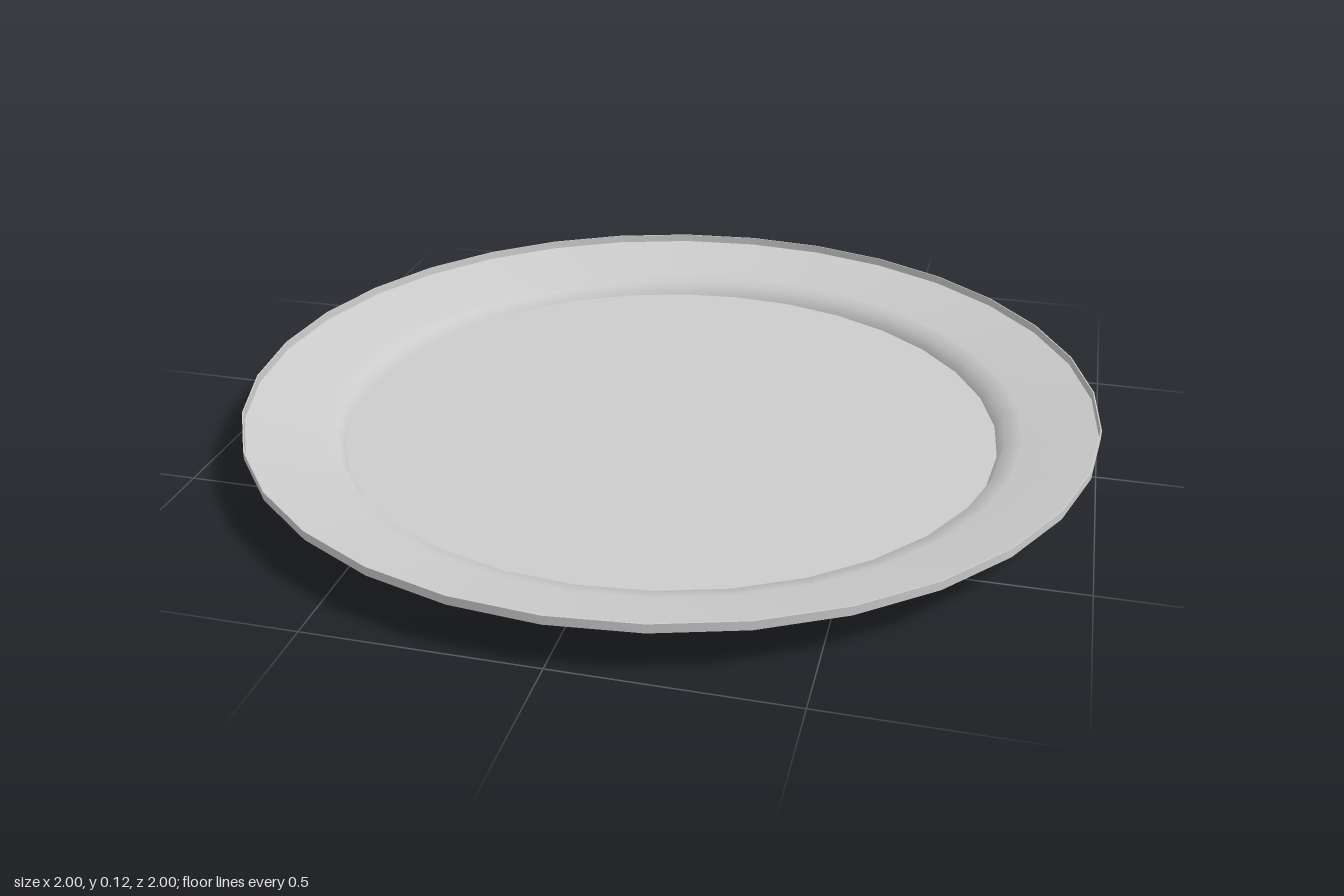
import * as THREE from 'three';

// Profiles [radius, height], ordered so faces point outward:
// underside runs out, the upper side runs back in.
const parts = {
  footBase: [[0, 0], [0.775, 0]],
  footRing: [[0.775, 0], [0.795, 0.044]],
  rimUnderside: [[0.795, 0.044], [0.84, 0.054], [0.9, 0.072], [1, 0.1]],
  outerEdge: [[1, 0.1], [1, 0.12]],
  edgeTop: [[1, 0.12], [0.997, 0.12]],
  edgeInside: [[0.997, 0.12], [0.996, 0.101]],
  rimTop: [[0.996, 0.101], [0.9, 0.08], [0.83, 0.064], [0.79, 0.054], [0.775, 0.024]],
  wellFloor: [[0.775, 0.024], [0, 0.024]],
};

export function createModel() {
  const plate = new THREE.Group();
  plate.name = 'plate';
  const material = new THREE.MeshStandardMaterial({ color: 0xcccccc, side: THREE.DoubleSide });

  // each part is its own 32-sided lathe: smooth within, sharp between parts
  for (const [name, profile] of Object.entries(parts)) {
    const points = profile.map(([r, y]) => new THREE.Vector2(r, y));
    const mesh = new THREE.Mesh(new THREE.LatheGeometry(points, 32), material);
    mesh.name = name;
    plate.add(mesh);
  }
  return plate;
}
